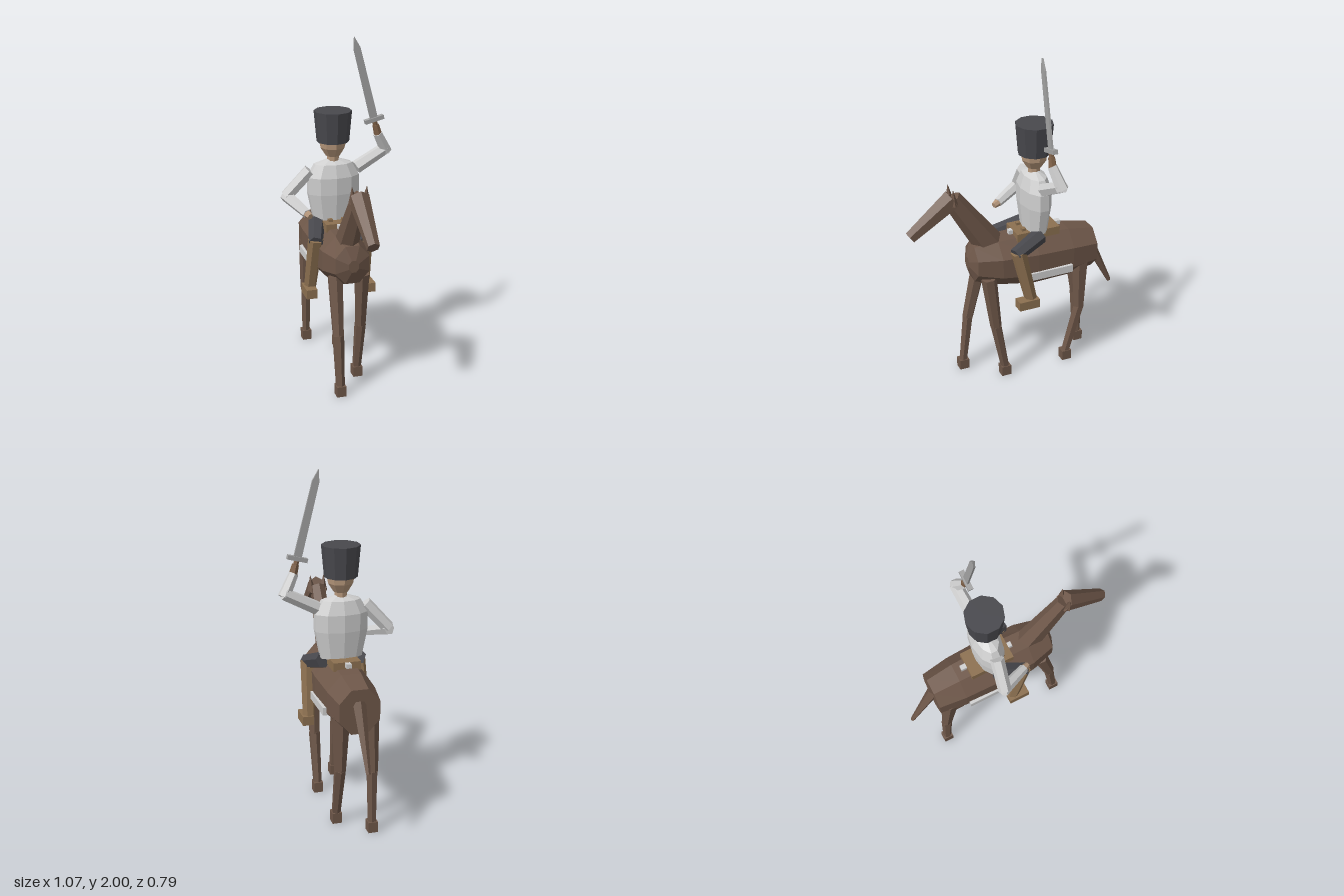
import * as THREE from 'three';

const mat = (name, color) => {
  const m = new THREE.MeshStandardMaterial({ color, flatShading: true });
  m.name = name;
  return m;
};

export function createModel() {
  const coat = mat('horse brown', 0x6e5749);
  const cloth = mat('uniform white', 0xd0d0d0);
  const dark = mat('hat charcoal', 0x48484d);
  const leather = mat('leather tan', 0x8c7050);
  const skin = mat('skin', 0xb5967a);
  const steel = mat('steel grey', 0xa2a2a2);
  const glove = mat('glove brown', 0x7f6148);

  const root = new THREE.Group();
  root.name = 'riderOnHorse';
  // Horse and rider are modelled facing +z, then turned together
  const horse = new THREE.Group();
  horse.name = 'horse';
  const rider = new THREE.Group();
  rider.name = 'rider';
  const turned = new THREE.Group();
  turned.name = 'turnedPair';
  turned.rotation.y = THREE.MathUtils.degToRad(54);
  turned.add(horse, rider);
  root.add(turned);

  const add = (parent, name, geo, material, pos = [0, 0, 0]) => {
    const m = new THREE.Mesh(geo, material);
    m.name = name;
    m.position.set(...pos);
    parent.add(m);
    return m;
  };
  const box = (parent, name, material, size, pos) =>
    add(parent, name, new THREE.BoxGeometry(...size), material, pos);
  // Tapered prism between two points
  const limb = (parent, name, material, a, b, r0, r1, sides = 6, squash = 1) => {
    const p = new THREE.Vector3(...a), q = new THREE.Vector3(...b);
    const d = q.clone().sub(p);
    const g = new THREE.CylinderGeometry(r1, r0, d.length(), sides);
    g.scale(squash, 1, 1);
    const m = add(parent, name, g, material, p.clone().add(q).multiplyScalar(0.5).toArray());
    m.quaternion.setFromUnitVectors(new THREE.Vector3(0, 1, 0), d.normalize());
    return m;
  };
  // Octagonal loft along z; each ring is [z, centreY, halfWidth, halfHeight]
  const loft = (rings) => {
    const pos = [], idx = [], n = 8, k = 1 / Math.cos(Math.PI / n);
    for (const [z, cy, w, h] of rings)
      for (let j = 0; j < n; j++) {
        const t = ((j + 0.5) / n) * Math.PI * 2;
        pos.push(Math.cos(t) * w * k, cy + Math.sin(t) * h * k, z);
      }
    const last = (rings.length - 1) * n;
    for (let i = 0; i < last; i += n)
      for (let j = 0; j < n; j++) {
        const a = i + j, b = i + ((j + 1) % n);
        idx.push(a, b, b + n, a, b + n, a + n);
      }
    for (let j = 1; j < n - 1; j++) idx.push(0, j + 1, j, last, last + j, last + j + 1);
    const g = new THREE.BufferGeometry();
    g.setAttribute('position', new THREE.Float32BufferAttribute(pos, 3));
    g.setIndex(idx);
    g.computeVertexNormals();
    return g;
  };

  // Horse trunk
  add(horse, 'horseBody', loft([
    [-0.495, 0.74, 0.116, 0.128],
    [-0.33, 0.745, 0.138, 0.155],
    [-0.1, 0.752, 0.146, 0.165],
    [0.12, 0.77, 0.135, 0.142],
    [0.262, 0.787, 0.1, 0.112],
    [0.292, 0.787, 0.03, 0.035],
  ]), coat);

  // Neck, head, ears and tail
  limb(horse, 'horseNeck', coat, [0, 0.885, 0.155], [0, 1.215, 0.375], 0.087, 0.056, 6, 0.75);
  limb(horse, 'horseHead', coat, [0, 1.215, 0.37], [0, 1.025, 0.625], 0.066, 0.04, 6, 0.9);
  for (const s of [1, -1])
    limb(horse, 'horseEar', coat, [s * 0.036, 1.19, 0.375], [s * 0.042, 1.285, 0.38], 0.026, 0.001, 4);
  limb(horse, 'horseTail', coat, [0, 0.79, -0.475], [0, 0.44, -0.65], 0.04, 0.014, 5);

  // Legs: side, z of hip, knee and hoof, then top radius
  for (const [s, hip, knee, hoof, r] of [
    [1, 0.19, 0.15, 0.092, 0.046], [-1, 0.19, 0.265, 0.302, 0.046],
    [1, -0.4, -0.4, -0.315, 0.054], [-1, -0.42, -0.46, -0.475, 0.054],
  ]) {
    limb(horse, 'horseUpperLeg', coat, [s * 0.08, 0.7, hip], [s * 0.084, 0.36, knee], r, 0.034);
    limb(horse, 'horseLowerLeg', coat, [s * 0.084, 0.365, knee], [s * 0.082, 0.05, hoof], 0.034, 0.026);
    box(horse, 'hoof', coat, [0.056, 0.063, 0.06], [s * 0.082, 0.0315, hoof]);
  }

  // Saddle cloth band and saddle
  box(horse, 'saddleClothBand', cloth, [0.316, 0.046, 0.27], [0, 0.688, -0.18]);
  box(horse, 'saddle', leather, [0.16, 0.05, 0.27], [0, 0.92, -0.125]);
  for (const z of [-0.275, 0.015])
    box(horse, 'saddleStud', cloth, [0.03, 0.025, 0.04], [0, 0.932, z]);
  for (const s of [1, -1])
    box(horse, 'saddlePost', leather, [0.025, 0.07, 0.025], [s * 0.04, 0.925, -0.045]);

  // Rider torso, neck, head and tall hat
  const c = -0.127;
  const torso = new THREE.LatheGeometry(
    [[0, 0.94], [0.125, 0.94], [0.158, 1.1], [0.158, 1.2], [0.115, 1.275], [0.04, 1.3], [0, 1.3]]
      .map(([x, y]) => new THREE.Vector2(x, y)), 10);
  torso.scale(1, 1, 0.54);
  add(rider, 'torso', torso, cloth, [0, 0, c]);
  limb(rider, 'neck', skin, [0, 1.28, c], [0, 1.345, c], 0.036, 0.036, 8);
  const head = new THREE.LatheGeometry(
    [[0, 1.32], [0.042, 1.32], [0.074, 1.37], [0.08, 1.42], [0, 1.42]]
      .map(([x, y]) => new THREE.Vector2(x, y)), 8);
  add(rider, 'head', head, skin, [0, 0, c]);
  limb(rider, 'hat', dark, [0, 1.405, c], [0, 1.585, c], 0.094, 0.11, 10);

  // Right arm bent across the waist
  limb(rider, 'rightUpperArm', cloth, [-0.14, 1.24, c], [-0.275, 1.09, -0.15], 0.04, 0.038);
  limb(rider, 'rightForearm', cloth, [-0.275, 1.09, -0.165], [-0.195, 1.027, 0.015], 0.038, 0.028);
  limb(rider, 'rightHand', skin, [-0.197, 1.028, 0.01], [-0.183, 1.018, 0.045], 0.024, 0.018);
  // Left arm raised
  limb(rider, 'leftUpperArm', cloth, [0.14, 1.235, c], [0.33, 1.335, -0.145], 0.04, 0.036);
  limb(rider, 'leftForearm', cloth, [0.33, 1.315, -0.145], [0.265, 1.435, -0.112], 0.036, 0.028);
  limb(rider, 'leftHand', glove, [0.27, 1.425, -0.113], [0.254, 1.485, -0.112], 0.025, 0.02);

  // Sword tilted inwards, built upright from the guard
  const sword = new THREE.Group();
  sword.name = 'sword';
  sword.position.set(0.244, 1.518, -0.113);
  sword.rotation.z = 0.25;
  rider.add(sword);
  const outline = new THREE.Shape(
    [[-0.023, 0], [0.023, 0], [0.02, 0.43], [0, 0.498], [-0.02, 0.43]]
      .map(([x, y]) => new THREE.Vector2(x, y)));
  add(sword, 'blade', new THREE.ExtrudeGeometry(outline, { depth: 0.012, bevelEnabled: false }),
    steel, [0, 0, -0.006]);
  box(sword, 'crossGuard', steel, [0.115, 0.024, 0.03], [0, 0, 0]);
  limb(sword, 'grip', glove, [0, -0.09, 0], [0, 0, 0], 0.015, 0.015);

  // Rider legs and boots
  for (const s of [1, -1]) {
    limb(rider, 'thigh', dark, [s * 0.1, 0.925, -0.125], [s * 0.155, 0.86, 0.055], 0.05, 0.042);
    limb(rider, 'shin', leather, [s * 0.15, 0.875, 0.035], [s * 0.168, 0.545, -0.04], 0.046, 0.036);
    box(rider, 'boot', leather, [0.065, 0.055, 0.126], [s * 0.178, 0.538, -0.013]);
  }
  return root;
}
